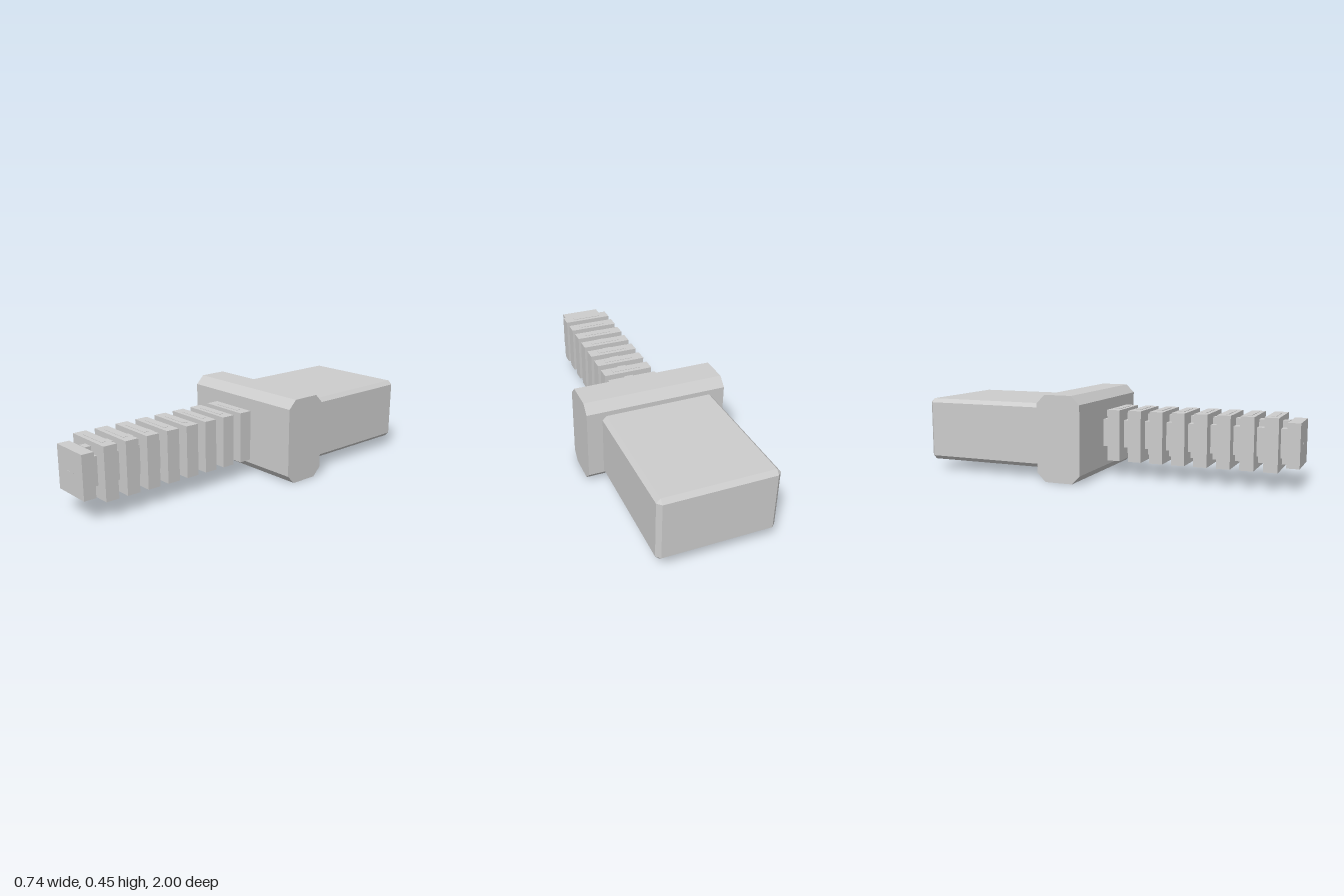
import * as THREE from 'three';
import { ConvexGeometry } from 'three/addons/geometries/ConvexGeometry.js';

export function createModel() {
  const model = new THREE.Group();
  model.name = 'connectorPlug';
  const grey = new THREE.MeshStandardMaterial({ color: 0xcccccc, flatShading: true });
  grey.name = 'grey';

  const add = (name, geometry) => {
    const mesh = new THREE.Mesh(geometry, grey);
    mesh.name = name;
    model.add(mesh);
    return mesh;
  };

  // Box given by its lower and upper limits
  const block = (name, x, y0, y1, z0, z1) =>
    add(name, new THREE.BoxGeometry(2 * x, y1 - y0, z1 - z0))
      .position.set(0, (y0 + y1) / 2, (z0 + z1) / 2);

  // Box with every edge chamfered
  const chamferedBox = (w, h, d, c) => {
    const points = [];
    for (const sx of [-1, 1]) for (const sy of [-1, 1]) for (const sz of [-1, 1]) {
      for (let face = 0; face < 3; face++) {
        points.push(new THREE.Vector3(
          sx * (w / 2 - (face === 0 ? 0 : c)),
          sy * (h / 2 - (face === 1 ? 0 : c)),
          sz * (d / 2 - (face === 2 ? 0 : c))));
      }
    }
    return new ConvexGeometry(points);
  };

  // Rear housing
  add('housing', chamferedBox(0.596, 0.34, 0.715, 0.021)).position.set(0, 0.225, -0.6425);

  // Flange: chamfered section extruded across x
  const z0 = -0.285, z1 = -0.045, top = 0.45, c = 0.045;
  const section = new THREE.Shape([
    [-z1, c], [-z1 + c, 0], [-z0 - c, 0], [-z0, c],
    [-z0, top - c], [-z0 - c, top], [-z1 + c, top], [-z1, top - c],
  ].map(([u, v]) => new THREE.Vector2(u, v)));
  const flange = new THREE.ExtrudeGeometry(section, { depth: 0.744, bevelEnabled: false });
  flange.translate(0, 0, -0.372).rotateY(Math.PI / 2);
  add('flange', flange);

  // Flexible cable relief: core, thin web, ribs and end cap
  block('core', 0.072, 0.154, 0.3, -0.05, 0.95);
  block('web', 0.025, 0.115, 0.335, -0.01, 0.93);
  for (let i = 0; i < 8; i++) {
    const z = 0.039 + i * 0.1178;
    block('rib', 0.135, 0.09, 0.359, z - 0.035, z + 0.035);
    block('ribInset', 0.08, 0.355, 0.361, z - 0.012, z + 0.012);
  }
  block('endCap', 0.11, 0.113, 0.336, 0.935, 0.999);
  block('endMark', 0.028, 0.223, 0.228, 0.995, 1.0);

  return model;
}
